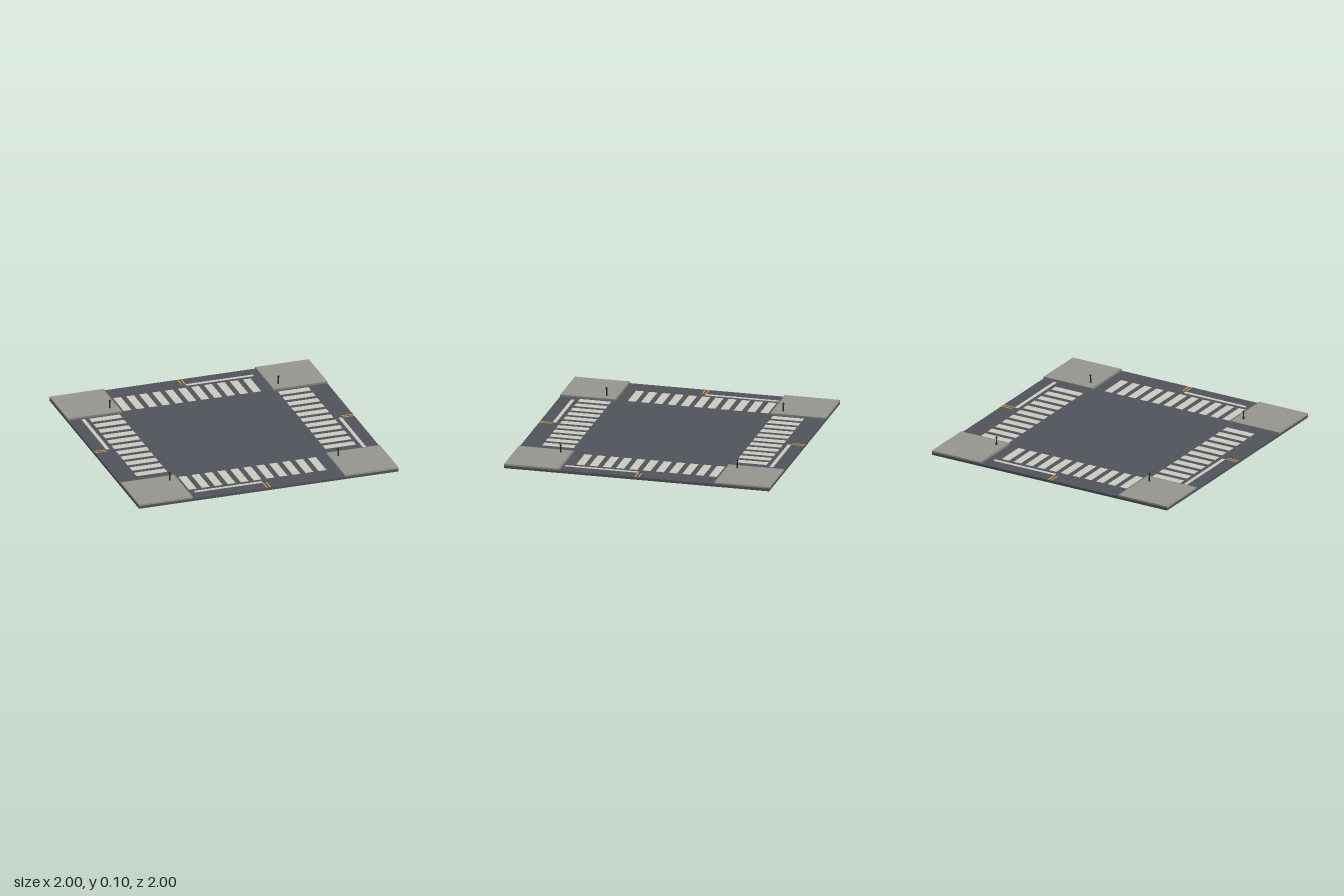
import * as THREE from 'three';

export function createModel() {
  const model = new THREE.Group();
  model.name = 'crossroads';

  const mat = (name, color) => {
    const m = new THREE.MeshStandardMaterial({ color });
    m.name = name;
    return m;
  };
  const asphalt = mat('asphalt', 0x50545a);
  const concrete = mat('concrete', 0x94958e);
  const kerbStone = mat('kerb stone', 0x82847f);
  const whitePaint = mat('white paint', 0xc9c9be);
  const yellowPaint = mat('yellow paint', 0xd0982c);
  const darkMetal = mat('dark metal', 0x2a2d30);

  const ROAD = 0.02, WALK = 0.033, PAINT = 0.0015;

  // Box given by its extents on each axis
  const slab = (name, material, x0, x1, y0, y1, z0, z1, parent = model) => {
    const mesh = new THREE.Mesh(new THREE.BoxGeometry(x1 - x0, y1 - y0, z1 - z0), material);
    mesh.position.set((x0 + x1) / 2, (y0 + y1) / 2, (z0 + z1) / 2);
    mesh.name = name;
    parent.add(mesh);
    return mesh;
  };
  const paint = (name, material, x0, x1, z0, z1) =>
    slab(name, material, x0, x1, ROAD, ROAD + PAINT, z0, z1);

  // Road bed
  slab('road', asphalt, -1, 1, 0, ROAD, -1, 1);

  // Corner pavements, each with two kerbs and a bollard
  for (const sx of [-1, 1]) {
    for (const sz of [-1, 1]) {
      const span = (s, a, b) => (s > 0 ? [a, b] : [-b, -a]);
      const corner = new THREE.Group();
      corner.name = 'pavementCorner';
      model.add(corner);
      slab('pavement', concrete, ...span(sx, 0.592, 1), ROAD, WALK, ...span(sz, 0.592, 1), corner);
      slab('kerbAlongZ', kerbStone, ...span(sx, 0.584, 0.592), ROAD, WALK, ...span(sz, 0.584, 1), corner);
      slab('kerbAlongX', kerbStone, ...span(sx, 0.592, 1), ROAD, WALK, ...span(sz, 0.584, 0.592), corner);

      const post = new THREE.Mesh(new THREE.CylinderGeometry(0.005, 0.006, 0.055, 10), darkMetal);
      post.position.set(sx * 0.65, WALK + 0.0275, sz * 0.667);
      post.name = 'bollardPost';
      const cap = new THREE.Mesh(new THREE.CylinderGeometry(0.007, 0.007, 0.01, 10), darkMetal);
      cap.position.set(sx * 0.65, 0.092, sz * 0.667);
      cap.name = 'bollardCap';
      corner.add(post, cap);
    }
  }

  // Zebra crossings on all four arms
  for (let i = 0; i < 11; i++) {
    const c = -0.533 + i * 0.1;
    for (const [a, b] of [[-0.846, -0.61], [0.61, 0.846]]) {
      paint('crossingStripe', whitePaint, c - 0.03, c + 0.03, a, b);
      paint('crossingStripe', whitePaint, a, b, c - 0.03, c + 0.03);
    }
  }

  // Stop lines, one for each approach lane
  paint('stopLineBack', whitePaint, 0.015, 0.535, -0.905, -0.878);
  paint('stopLineFront', whitePaint, -0.535, -0.015, 0.878, 0.905);
  paint('stopLineRight', whitePaint, -0.904, -0.877, -0.568, -0.015);
  paint('stopLineLeft', whitePaint, 0.877, 0.904, 0.015, 0.568);

  // Double yellow centre lines
  for (const c of [-0.013, 0.013]) {
    for (const [a, b] of [[-1, -0.908], [0.908, 1]]) {
      paint('centreLine', yellowPaint, c - 0.005, c + 0.005, a, b);
      paint('centreLine', yellowPaint, a, b, c - 0.005, c + 0.005);
    }
  }

  return model;
}
